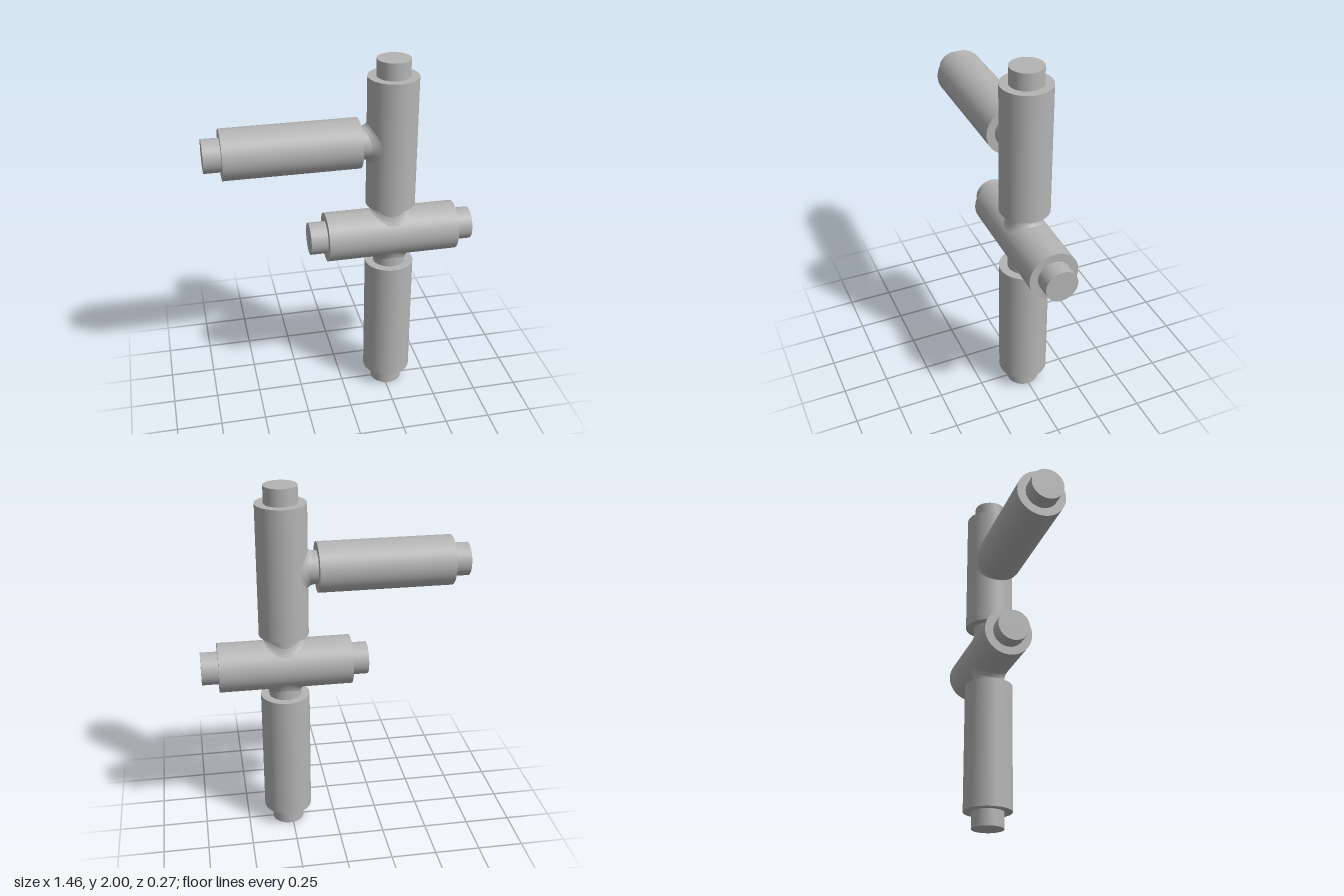
import * as THREE from 'three';

const BARREL_R = 0.135, BARREL_LEN = 0.725;
const PIN_R = 0.089, PIN_LEN = 0.91;

export function createModel() {
  const model = new THREE.Group();
  model.name = 'pipeAssembly';
  const grey = new THREE.MeshStandardMaterial({ color: 0xb4b4b4 });
  grey.name = 'plain grey';

  const add = (parent, name, geometry) => {
    const mesh = new THREE.Mesh(geometry, grey);
    mesh.name = name;
    parent.add(mesh);
  };

  // One segment: a thick barrel with a thinner pin showing at both ends
  function segment(name, x, y, horizontal) {
    const g = new THREE.Group();
    g.name = name;
    add(g, 'barrel', new THREE.CylinderGeometry(BARREL_R, BARREL_R, BARREL_LEN, 48));
    add(g, 'pin', new THREE.CylinderGeometry(PIN_R, PIN_R, PIN_LEN, 48));
    g.position.set(x, y, 0);
    if (horizontal) g.rotation.z = Math.PI / 2;
    model.add(g);
  }
  segment('lowerPost', 0.27, 0.4575, false);
  segment('upperPost', 0.27, 1.545, false);
  segment('crossBar', 0.27, 1.002, true);
  segment('sideArm', -0.275, 1.55, true);

  // Weld fillet: a flared ring whose foot follows the barrel it sits on
  function fillet(name, x, y, turn) {
    const profile = [[0.112, -0.002], [0.101, 0.004], [0.094, 0.012], [PIN_R, 0.026]]
      .map(([r, h]) => new THREE.Vector2(r, h));
    const geo = new THREE.LatheGeometry(profile, 48);
    const p = geo.attributes.position;
    for (let i = 0; i < p.count; i++) {
      const z = p.getZ(i);
      p.setY(i, p.getY(i) + Math.sqrt(BARREL_R ** 2 - z * z));
    }
    geo.computeVertexNormals();
    const g = new THREE.Group();
    g.name = name;
    add(g, 'weld', geo);
    // Short neck carrying the pin into the barrel
    const neck = new THREE.CylinderGeometry(PIN_R, PIN_R, 0.13, 48, 1, true);
    neck.translate(0, 0.125, 0);
    add(g, 'neck', neck);
    g.position.set(x, y, 0);
    g.rotation.z = turn;
    model.add(g);
  }
  fillet('upperJoint', 0.27, 1.002, 0);
  fillet('lowerJoint', 0.27, 1.002, Math.PI);
  fillet('sideJoint', 0.27, 1.55, Math.PI / 2);

  return model;
}
